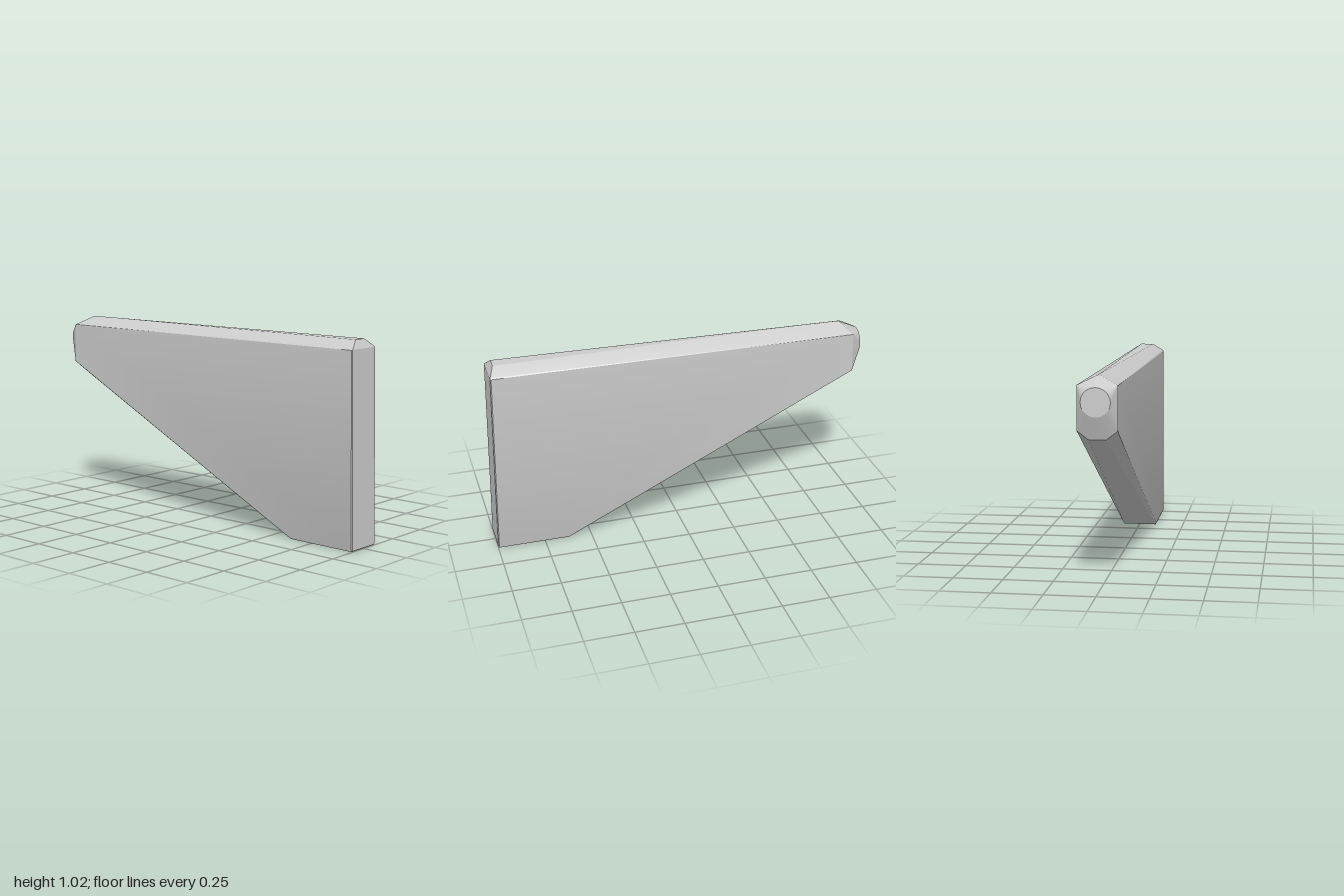
import * as THREE from 'three';
import { ConvexGeometry } from 'three/addons/geometries/ConvexGeometry.js';
import { toCreasedNormals } from 'three/addons/utils/BufferGeometryUtils.js';

export function createModel() {
  const group = new THREE.Group();
  group.name = 'taperedBlade';
  const points = [];
  const pair = (x, y, z) => {
    points.push(new THREE.Vector3(x, y, z), new THREE.Vector3(-x, y, z));
  };
  const W = 0.096;
  const E = 0.004; // tiny edge bevel

  // front face with bevelled sides and foot
  pair(W - E, 0.008, 1);
  pair(W, 0.01, 0.995);
  pair(W - E, 0.982, 0.98);
  pair(W, 0.98, 0.975);

  // flat foot
  pair(W - E, 0, 0.995);
  pair(W - E, 0, 0.62);
  pair(W, 0.01, 0.617);

  // chamfered top, narrowing to a ridge at the rear
  pair(W - E, 0.987, 0.972);
  pair(0.035, 1.025, 0.955);
  points.push(new THREE.Vector3(0, 1.025, -0.89));

  // rear shoulders and underside
  pair(W, 0.98, -0.945);
  pair(W, 0.77, -0.95);
  pair(0.04, 0.728, -0.95);

  // round rear tip
  const sides = 20;
  for (let i = 0; i < sides; i++) {
    const a = (i / sides) * Math.PI * 2;
    points.push(new THREE.Vector3(Math.cos(a) * 0.07, 0.907 + Math.sin(a) * 0.069, -1));
  }

  const body = new THREE.Mesh(
    toCreasedNormals(new ConvexGeometry(points), 0.4),
    new THREE.MeshStandardMaterial({ color: 0xcccccc })
  );
  body.name = 'body';
  group.add(body);
  return group;
}
